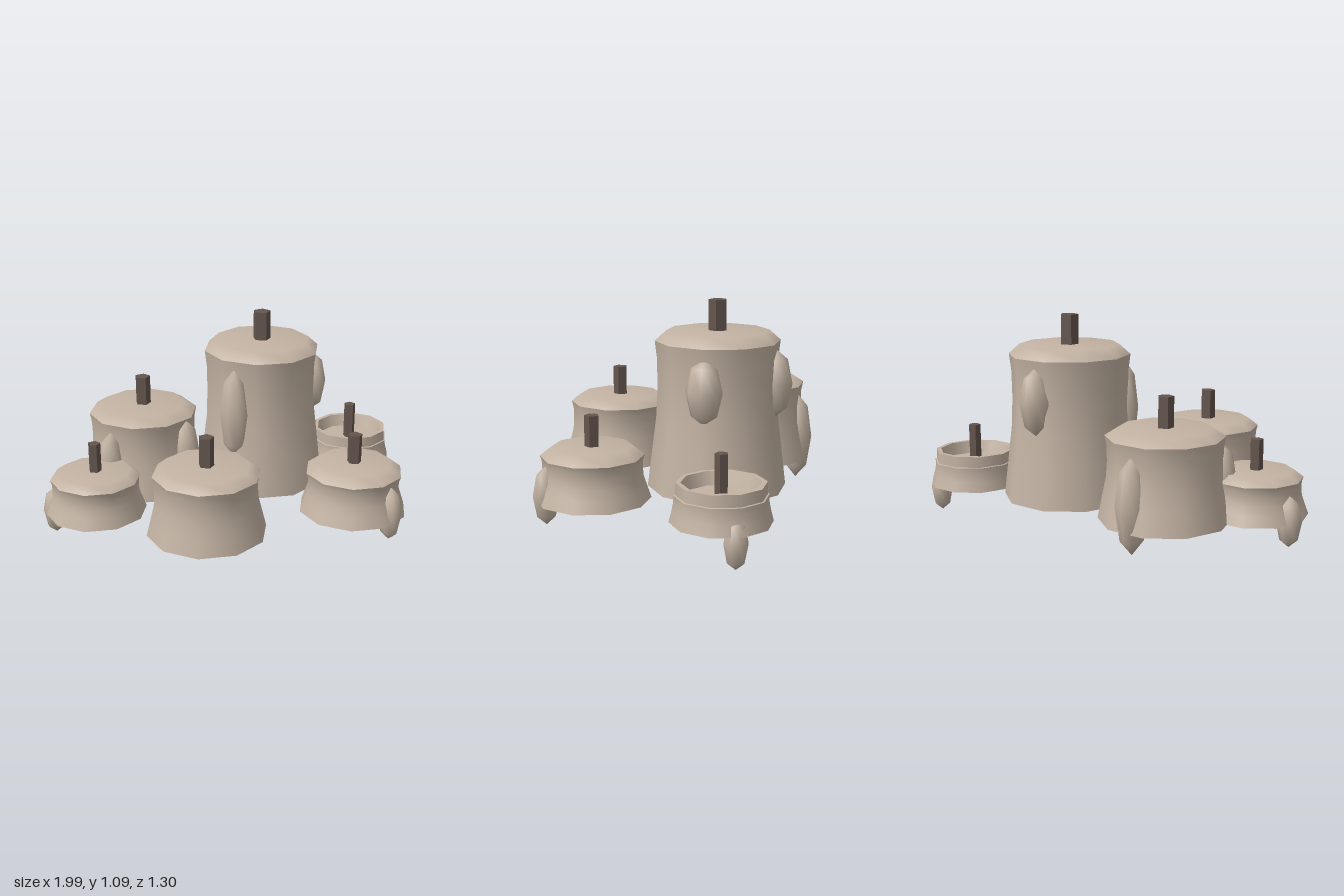
import * as THREE from 'three';
import { mergeGeometries } from 'three/addons/utils/BufferGeometryUtils.js';

const BASE = 0.16;
const waxMat = new THREE.MeshStandardMaterial({ color: 0xc3b3a3 });
waxMat.name = 'wax';
const wickMat = new THREE.MeshStandardMaterial({ color: 0x64564e });
wickMat.name = 'wick';

// Ten-sided lathe; each profile section is smooth, with a sharp edge between sections
function turned(sections) {
  return mergeGeometries(sections.map((pts) => new THREE.LatheGeometry(
    pts.map(([r, y]) => new THREE.Vector2(r, y)), 10, Math.PI / 2)));
}

// Flared candle with a chamfered top
function candleBody({ rim, top, rimY, topY }) {
  const wall = [[1.12, 0], [1.045, 0.26], [0.975, 0.5], [0.958, 0.7], [0.965, 0.88], [1, 1]]
    .map(([r, t]) => [r * rim, BASE + t * (rimY - BASE)]);
  return turned([
    [[0, BASE], wall[0]],
    wall,
    [[rim, rimY], [top, topY], [0, topY]],
  ]);
}

// Small burnt-down candle with a sunken pool
function cupBody() {
  return turned([
    [[0, BASE], [0.237, BASE]],
    [[0.237, BASE], [0.224, 0.21], [0.216, 0.25], [0.217, 0.285]],
    [[0.217, 0.285], [0.209, 0.287]],
    [[0.209, 0.287], [0.207, 0.343]],
    [[0.207, 0.343], [0.184, 0.343]],
    [[0.184, 0.343], [0.164, 0.28]],
    [[0.164, 0.28], [0, 0.28]],
  ]);
}

// Drips: [x, z, centre y, half height, half width, half depth]
const candles = [
  {
    name: 'tallCandle', x: 0.203, z: -0.27, rim: 0.308, top: 0.252, rimY: 0.89, topY: 0.94,
    wick: 0.047, wickY: 1.09,
    drips: [
      [0.487, -0.27, 0.685, 0.16, 0.09, 0.075],
      [0.175, -0.55, 0.685, 0.17, 0.078, 0.085],
      [0.01, -0.058, 0.605, 0.24, 0.082, 0.065],
    ],
  },
  {
    name: 'backCandle', x: -0.435, z: -0.315, rim: 0.288, top: 0.225, rimY: 0.565, topY: 0.605,
    wick: 0.041, wickY: 0.755,
    drips: [
      [-0.436, -0.57, 0.28, 0.235, 0.077, 0.083],
      [-0.235, -0.132, 0.38, 0.18, 0.07, 0.075],
      [-0.633, -0.125, 0.34, 0.18, 0.07, 0.07],
    ],
  },
  {
    name: 'frontCandle', x: -0.21, z: 0.365, rim: 0.269, top: 0.218, rimY: 0.47, topY: 0.51,
    wick: 0.039, wickY: 0.66,
    drips: [[-0.188, 0.122, 0.3, 0.175, 0.07, 0.077]],
  },
  {
    name: 'sideCandle', x: -0.728, z: 0.025, rim: 0.23, top: 0.183, rimY: 0.345, topY: 0.38,
    wick: 0.033, wickY: 0.53,
    drips: [[-0.938, -0.01, 0.165, 0.125, 0.062, 0.062]],
  },
  {
    name: 'frontSideCandle', x: 0.575, z: 0.253, rim: 0.25, top: 0.192, rimY: 0.373, topY: 0.417,
    wick: 0.037, wickY: 0.567,
    drips: [[0.715, 0.437, 0.198, 0.143, 0.055, 0.065]],
  },
  {
    name: 'burntCandle', x: 0.757, z: -0.418, cup: true, topY: 0.28,
    wick: 0.032, wickY: 0.475,
    drips: [[0.918, -0.52, 0.12, 0.12, 0.058, 0.058]],
  },
];

export function createModel() {
  const model = new THREE.Group();
  model.name = 'candleCluster';
  for (const c of candles) {
    const group = new THREE.Group();
    group.name = c.name;
    group.position.set(c.x, 0, c.z);

    const body = new THREE.Mesh(c.cup ? cupBody() : candleBody(c), waxMat);
    body.name = 'candleBody';
    group.add(body);

    // Five-sided wick
    const bottom = c.topY - 0.02;
    const wickGeo = new THREE.CylinderGeometry(c.wick, c.wick, c.wickY - bottom, 5, 1, false, Math.PI / 2)
      .toNonIndexed();
    wickGeo.computeVertexNormals();
    const wick = new THREE.Mesh(wickGeo, wickMat);
    wick.name = 'wick';
    wick.position.y = (c.wickY + bottom) / 2;
    group.add(wick);

    // Wax drips half sunk into the wall, turned outward
    for (const [x, z, y, h, w, d] of c.drips) {
      const drip = new THREE.Mesh(new THREE.SphereGeometry(1, 8, 4), waxMat);
      drip.name = 'waxDrip';
      drip.scale.set(w, h, d);
      drip.position.set(x - c.x, y, z - c.z);
      drip.rotation.y = Math.atan2(x - c.x, z - c.z);
      group.add(drip);
    }
    model.add(group);
  }
  return model;
}
